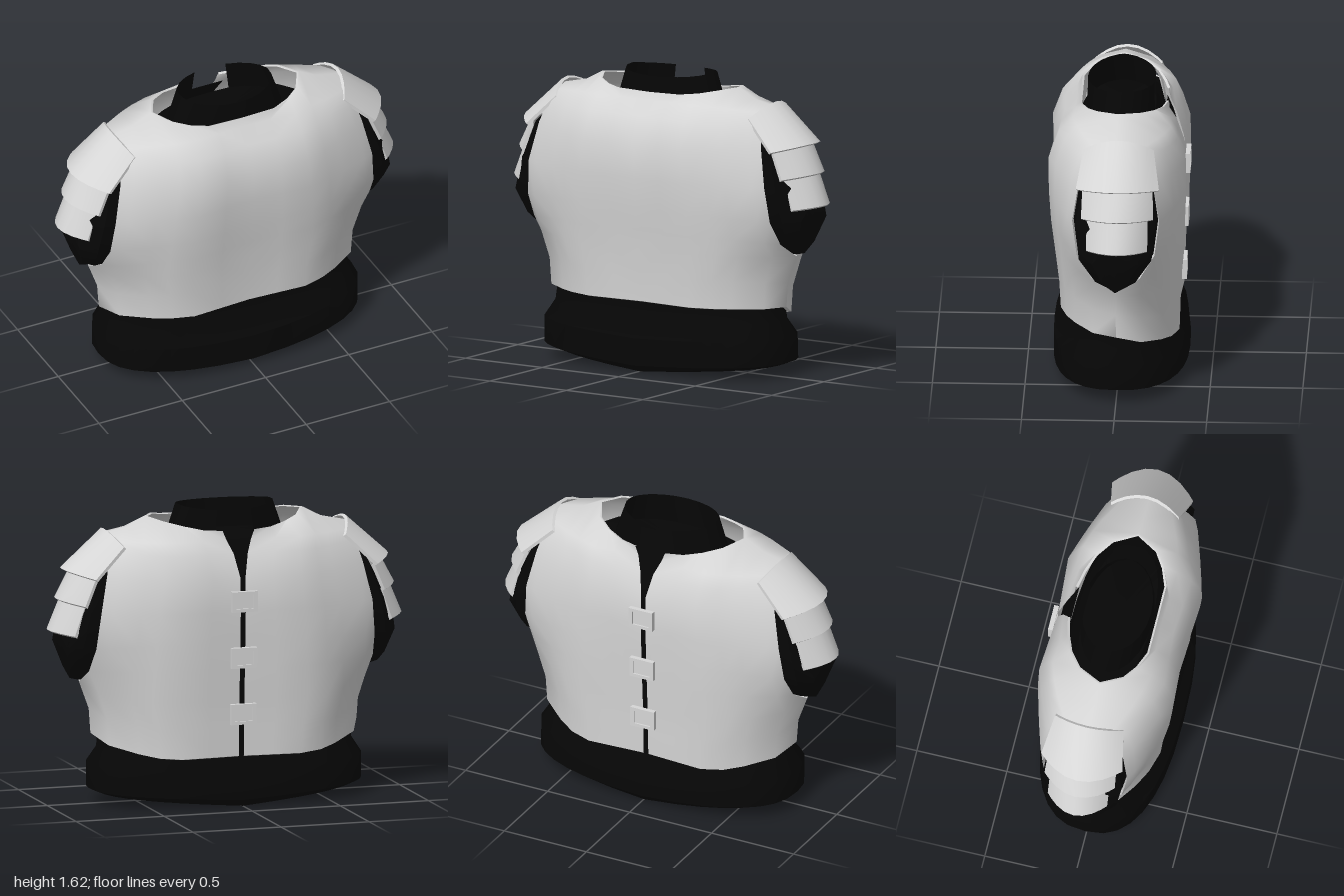
import * as THREE from 'three';
import { mergeGeometries, toCreasedNormals } from 'three/addons/utils/BufferGeometryUtils.js';

const plate = new THREE.MeshStandardMaterial({ color: 0xd6d6d6, side: THREE.DoubleSide });
plate.name = 'pale grey plate';
const cloth = new THREE.MeshStandardMaterial({ color: 0x060606, side: THREE.DoubleSide });
cloth.name = 'black cloth';

// Surface through rows of [x, y, z] points; flip reverses the faces.
function grid(rows, flip = false) {
  const n = rows[0].length, index = [];
  for (let r = 0; r < rows.length - 1; r++) {
    for (let c = 0; c < n - 1; c++) {
      const a = r * n + c, b = a + 1, d = a + n, e = d + 1;
      if (flip) index.push(a, e, b, a, d, e);
      else index.push(a, b, e, a, e, d);
    }
  }
  const g = new THREE.BufferGeometry();
  g.setAttribute('position', new THREE.Float32BufferAttribute(rows.flat(2), 3));
  g.setIndex(index);
  return g;
}

function addMesh(parent, name, geometries, material, crease = 0.75) {
  const merged = mergeGeometries(geometries.map((g) => g.toNonIndexed()));
  const mesh = new THREE.Mesh(toCreasedNormals(merged, crease), material);
  mesh.name = name;
  parent.add(mesh);
}

// Panel rows: outer edge (side seam, then armhole) as x, y, z.
const EDGE = [
  [0.755, 0.385, 0], [0.765, 0.52, 0], [0.82, 0.67, 0], [0.805, 0.75, 0.13], [0.79, 0.88, 0.21],
  [0.77, 1.07, 0.235], [0.725, 1.28, 0.2], [0.695, 1.4, 0.15], [0.69, 1.45, 0.08],
];
// Matching centre points: start x, y, depth.
const FRONT = [
  [0, 0.385, 0.295], [0, 0.54, 0.303], [0, 0.68, 0.317], [0, 0.78, 0.325], [0, 0.9, 0.343],
  [0, 1.07, 0.356], [0, 1.25, 0.355], [0, 1.4, 0.305], [0, 1.48, 0.235],
];
const BACK = [
  [0.014, 0.27, 0.31], [0.014, 0.42, 0.315], [0.014, 0.58, 0.32], [0.014, 0.75, 0.33], [0.014, 0.9, 0.337],
  [0.014, 1.07, 0.345], [0.014, 1.25, 0.34], [0.04, 1.38, 0.3], [0.07, 1.45, 0.265],
];
// Neckline and shoulder line.
const FRONT_TOP = [[0, 1.52, 0.215], [0.2, 1.525, 0.215], [0.3, 1.535, 0.175], [0.38, 1.55, 0.12], [0.445, 1.56, 0], [0.55, 1.505, 0], [0.69, 1.475, 0]];
const BACK_TOP = [[0.09, 1.5, 0.262], [0.19, 1.505, 0.24], [0.29, 1.525, 0.2], [0.38, 1.545, 0.13], [0.445, 1.56, 0], [0.55, 1.505, 0], [0.69, 1.475, 0]];
// Fraction across the panel, fullness there, and its change beside the armhole.
const ACROSS = [0, 0.22, 0.44, 0.6, 0.73, 0.92, 1];
const FULL = [1, 1.03, 1.06, 0.94, 0.77, 0.43, 0];
const SLIM = [0, -0.25, -0.5, 0.2, 0.55, 0.8, 0];

function panel(centre, top, sx, sz) {
  const rows = centre.map(([x0, cy, cz], r) => {
    const [ex, ey, ez] = EDGE[r];
    return ACROSS.map((s, i) => {
      const full = FULL[i] - SLIM[i] * ez;
      return [
        sx * (x0 + (ex - x0) * s),
        ey + (cy - ey) * Math.min(1, full),
        sz * (ez + (cz - ez) * full),
      ];
    });
  });
  rows.push(top.map(([x, y, z]) => [sx * x, y, sz * z]));
  const flip = sx * sz < 0;
  const inward = (line) => line.map(([x, y, z]) => [x * 0.97, y - 0.005, z * 0.95]);
  const hem = rows[0], neck = rows[9].slice(0, 5), armhole = rows.slice(2).map((r) => r[6]);
  return [
    grid(rows, flip),
    grid([inward(hem), hem], flip),
    grid([neck, inward(neck)], flip),
    grid([armhole, armhole.map(([x, y, z]) => [x - sx * 0.03, y, z * 0.97])], !flip),
  ];
}

// Overlapping shoulder plate: middle and end points of its top and bottom edges.
function shoulderPlate(sx, top, topEnd, bottom, bottomEnd, topHalf, bottomHalf) {
  const steps = [-1, -0.85, -0.6, -0.3, 0, 0.3, 0.6, 0.85, 1];
  const at = (m, e, half, t, inset) => {
    const k = Math.abs(t) ** 2;
    return [
      sx * (m[0] + (e[0] - m[0]) * k - inset),
      m[1] + (e[1] - m[1]) * k - inset * 0.7,
      -0.01 + half * t * (1 - inset),
    ];
  };
  const rows = steps.map((t) => {
    const a = at(top, topEnd, topHalf, t, 0), b = at(bottom, bottomEnd, bottomHalf, t, 0);
    const c = at(bottom, bottomEnd, bottomHalf, t, 0.014), d = at(top, topEnd, topHalf, t, 0.014);
    return [a, b, c, d, a];
  });
  const cap = (r) => [[r[0], r[1]], [r[3], r[2]]];
  return [grid(rows, sx > 0), grid(cap(rows[0]), sx > 0), grid(cap(rows[8]), sx < 0)];
}

// Rounded outline swept through rows of y, half width, front depth, back depth, side lift.
function bodyLoft(rows) {
  const N = 32;
  const soft = (v) => Math.sign(v) * Math.abs(v) ** 0.8;
  return grid(rows.map(([y, rx, zf, zb, lift = 0]) => Array.from({ length: N + 1 }, (_, i) => {
    const a = (i / N) * Math.PI * 2, s = soft(Math.sin(a)), c = soft(Math.cos(a));
    return [rx * s, y + lift * Math.abs(s), c * (c > 0 ? zf : zb)];
  })));
}

// Short sleeve bulging out of an armhole, narrowing in depth towards its outer face.
function sleeve(sx) {
  const half = [[0.68, 0], [0.74, 0.11], [0.88, 0.2], [1.07, 0.222], [1.28, 0.18], [1.37, 0]];
  const outline = [...half, ...half.slice(1, -1).reverse().map(([y, z]) => [y, -z]), half[0]];
  const reach = (y) => (y < 0.9 ? 0.87 + (y - 0.68) * 0.3 : 0.936 - Math.max(0, y - 0.95) * 0.5);
  const ring = (ky, kz, x) => outline.map(([y, z]) => {
    const yy = 1 + (y - 1) * ky;
    return [sx * x(yy), yy, z * kz];
  });
  return grid([
    ring(1, 1, () => 0.68),
    ring(1, 0.98, (y) => 0.6 * reach(y) + 0.3),
    ring(0.96, 0.62, reach),
    ring(0.5, 0.35, (y) => reach(y) + 0.005),
    ring(0, 0, (y) => reach(y) + 0.01),
  ], sx > 0);
}

// Neck collar, open at the back, with a dipped front edge.
function collar() {
  const g = new THREE.CylinderGeometry(0.27, 0.335, 0.19, 20, 1, true, Math.PI + 0.35, Math.PI * 2 - 0.7);
  const p = g.attributes.position;
  for (let i = 0; i < p.count; i++) {
    const upper = p.getY(i) > 0, z = p.getZ(i) * (upper ? 0.69 : 0.57);
    p.setXYZ(i, p.getX(i), p.getY(i) + 1.525 - (upper ? Math.abs(z) * 0.1 : 0), z - 0.008);
  }
  return g;
}

export function createModel() {
  const model = new THREE.Group();
  model.name = 'bodyArmour';

  // Padded waist and inner torso
  addMesh(model, 'innerBody', [bodyLoft([
    [0, 0, 0, 0], [0, 0.71, 0.3, 0.335, 0.06], [0.04, 0.76, 0.36, 0.375, 0.04],
    [0.19, 0.76, 0.36, 0.36, 0.03], [0.27, 0.71, 0.28, 0.295, 0.03], [0.39, 0.7, 0.265, 0.275],
    [0.7, 0.7, 0.265, 0.275], [1.07, 0.66, 0.28, 0.28], [1.33, 0.58, 0.23, 0.23],
    [1.44, 0.4, 0.18, 0.19], [1.46, 0, 0, 0],
  ])], cloth);

  addMesh(model, 'collar', [collar()], cloth);

  // Strip behind the back opening
  const strip = BACK.map(([x, y, z]) => [[x + 0.04, y, 0.018 - z], [-x - 0.04, y, 0.018 - z]]);
  addMesh(model, 'backStrip', [grid(strip)], cloth);

  // Chest and back shell
  addMesh(model, 'armourShell', [1, -1].flatMap((sx) => [
    ...panel(FRONT, FRONT_TOP, sx, 1), ...panel(BACK, BACK_TOP, sx, -1),
  ]), plate, 1.15);

  // Sleeves and layered shoulder plates
  for (const [sx, side] of [[1, 'left'], [-1, 'right']]) {
    addMesh(model, side + 'Sleeve', [sleeve(sx)], cloth);
    const layers = [
      [[0.925, 1.14], [0.84, 1.12], [1.0, 0.965], [0.9, 0.95], 0.165, 0.165],
      [[0.87, 1.29], [0.79, 1.26], [0.955, 1.135], [0.85, 1.115], 0.19, 0.195],
      [[0.685, 1.505], [0.63, 1.43], [0.92, 1.295], [0.8, 1.265], 0.19, 0.225],
    ];
    layers.forEach((p, i) => addMesh(model, `${side}ShoulderPlate${i + 1}`, shoulderPlate(sx, ...p), plate));
  }

  // Back buckles: raised frame around a thin plate
  const rect = (path, w, h) => path.moveTo(-w, -h).lineTo(w, -h).lineTo(w, h).lineTo(-w, h).lineTo(-w, -h);
  const frame = rect(new THREE.Shape(), 0.072, 0.056);
  frame.holes.push(rect(new THREE.Path(), 0.05, 0.038));
  [[1.125, -0.377], [0.815, -0.367], [0.505, -0.357]].forEach(([y, z], i) => {
    const ring = new THREE.ExtrudeGeometry(frame, { depth: 0.026, bevelEnabled: false });
    const base = new THREE.BoxGeometry(0.104, 0.08, 0.009);
    base.translate(0, 0, 0.014);
    const buckle = new THREE.Group();
    buckle.name = 'buckle' + (i + 1);
    addMesh(buckle, 'buckleFrame', [ring], plate);
    addMesh(buckle, 'bucklePlate', [base], plate);
    buckle.position.set(0, y, z);
    model.add(buckle);
  });

  return model;
}
